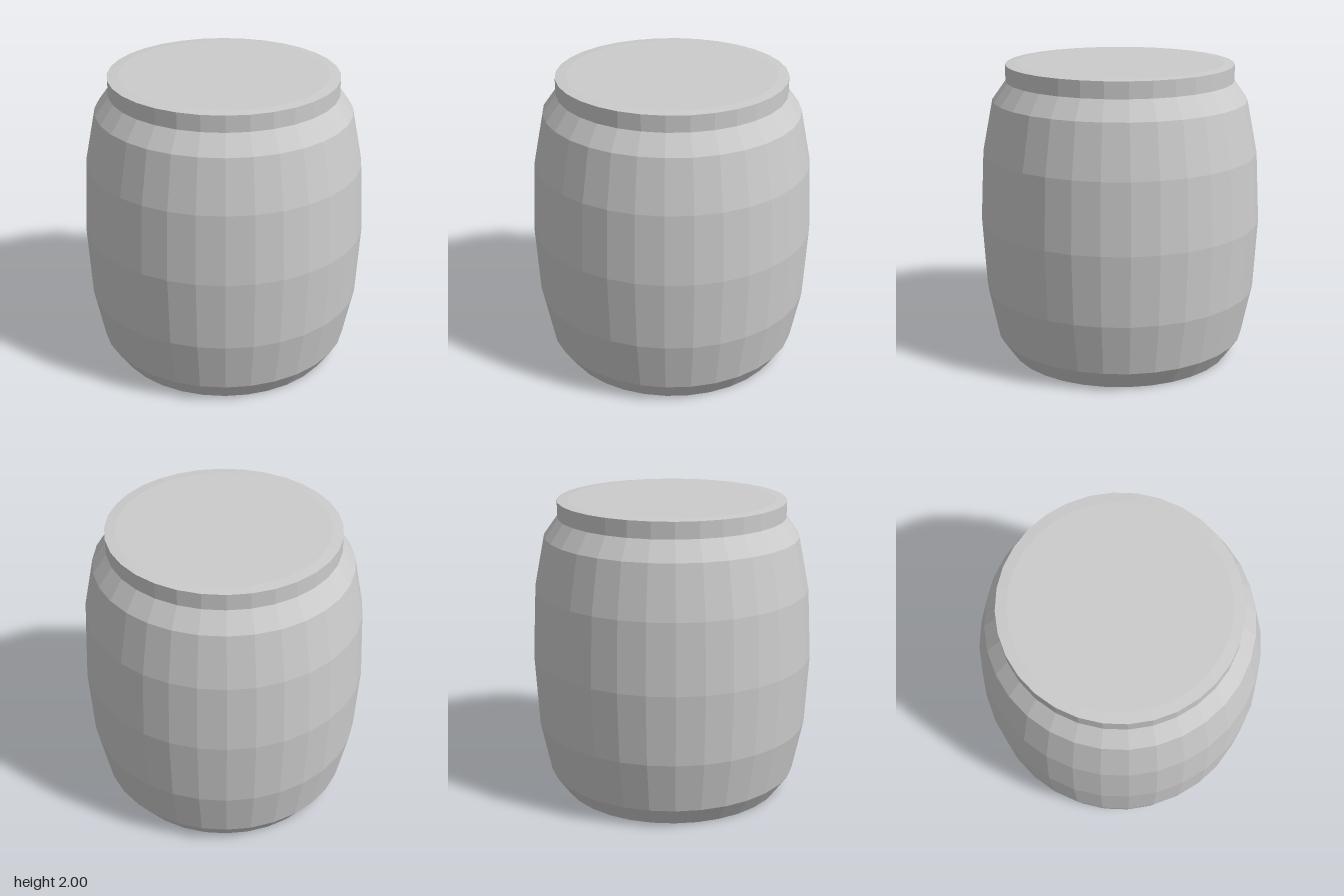
import * as THREE from 'three';

const SIDES = 32;

// Faceted surface of revolution from [radius, height] pairs
function turned(name, profile) {
  const points = profile.map(([r, y]) => new THREE.Vector2(r, y));
  const material = new THREE.MeshStandardMaterial({
    color: 0xcccccc, flatShading: true, side: THREE.DoubleSide,
  });
  const mesh = new THREE.Mesh(new THREE.LatheGeometry(points, SIDES), material);
  mesh.name = name;
  return mesh;
}

export function createModel() {
  const group = new THREE.Group();
  group.name = 'barrel';

  // Bulging outer shell with bevelled foot and shoulder
  group.add(turned('barrelShell', [
    [0.76, 0], [0.85, 0.13], [0.92, 0.475], [0.945, 0.945],
    [0.92, 1.41], [0.85, 1.76], [0.76, 1.885],
  ]));

  // Hollow inside, open at the bottom, with a slanted lip
  group.add(turned('barrelInside', [
    [0, 1.88], [0.67, 1.88], [0.67, 0.12], [0.76, 0],
  ]));

  // Flat lid with a very slight edge slope
  group.add(turned('lid', [
    [0.76, 1.885], [0.76, 1.994], [0.69, 2], [0, 2],
  ]));

  return group;
}
